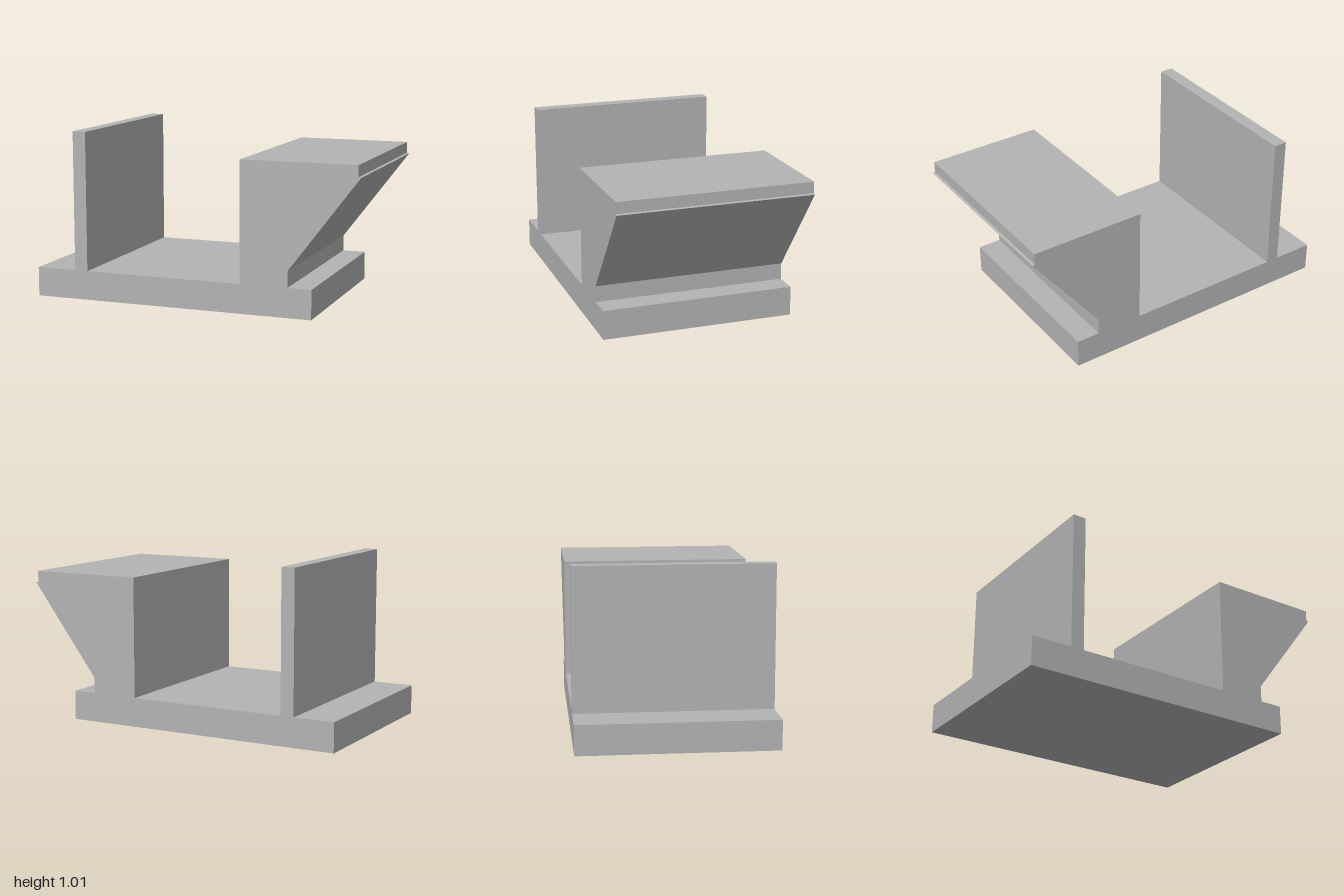
import * as THREE from 'three';

const DEPTH = 1.15;

export function createModel() {
  const group = new THREE.Group();
  group.name = 'bracket';

  const grey = new THREE.MeshStandardMaterial({ color: 0xb3b3b3 });
  grey.name = 'plain grey';

  // Cross-section, counter-clockwise from the bottom left corner
  const profile = [
    [-1, 0], [0.725, 0], [0.725, 0.175],               // base plate
    [0.583, 0.175], [0.583, 0.272],                    // foot of the block
    [1, 0.822], [0.985, 0.826], [0.985, 0.893],        // sloping underside and lip
    [0.295, 0.893], [0.295, 0.175],                    // block top and inner face
    [-0.672, 0.175], [-0.672, 1.01],                   // upright wall
    [-0.753, 1.01], [-0.753, 0.175], [-1, 0.175],
  ];
  const shape = new THREE.Shape(profile.map(([x, y]) => new THREE.Vector2(x, y)));

  // One solid bar with the same section all the way through
  const geometry = new THREE.ExtrudeGeometry(shape, { depth: DEPTH, bevelEnabled: false });
  geometry.translate(0, 0, -DEPTH / 2);

  const body = new THREE.Mesh(geometry, grey);
  body.name = 'baseWithWallAndSlopedBlock';
  group.add(body);
  return group;
}
